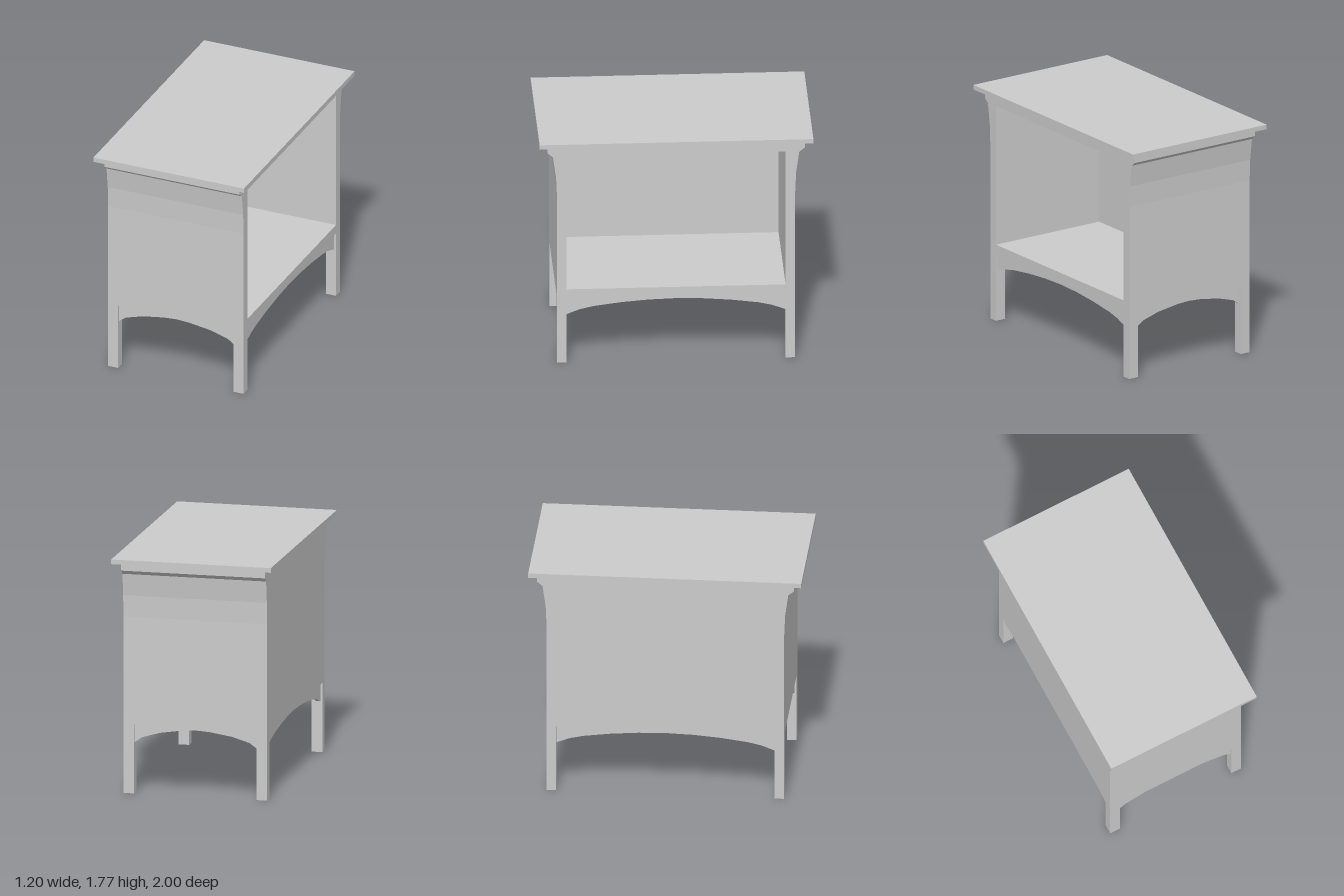
import * as THREE from 'three';

const material = new THREE.MeshStandardMaterial({ color: 0xcccccc, flatShading: true });

// Half sizes and heights
const BODY_X = 0.54, BODY_Z = 0.87, LEG_X = 0.46, LEG_Z = 0.8;
const BODY_BOTTOM = 0.515, BODY_TOP = 1.735, TOP = 1.77;
const RECESS_BACK = -0.385;

function add(group, name, geometry, x = 0, y = 0, z = 0) {
  const mesh = new THREE.Mesh(geometry, material);
  mesh.name = name;
  mesh.position.set(x, y, z);
  group.add(mesh);
  return mesh;
}

// Shape from right-half points (bottom to top), mirrored to the left half
function mirroredShape(half) {
  const left = half.map(([u, v]) => [-u, v]).reverse();
  return new THREE.Shape([...half, ...left].map(([u, v]) => new THREE.Vector2(u, v)));
}

const extrude = (shape, depth) => new THREE.ExtrudeGeometry(shape, { depth, bevelEnabled: false });

// End walls flare outwards below the top
function bodyShape() {
  return mirroredShape([
    [BODY_Z, BODY_BOTTOM], [BODY_Z, 1.32], [0.877, 1.48], [0.9, 1.645], [0.94, 1.677], [0.94, BODY_TOP],
  ]);
}

// Apron with an arched lower edge
function apronGeometry(arch, thickness) {
  const end = arch[arch.length - 1][0];
  const geometry = extrude(mirroredShape([...arch, [end, BODY_BOTTOM]]), thickness);
  return geometry.translate(0, 0, -thickness / 2);
}

export function createModel() {
  const model = new THREE.Group();
  model.name = 'sideCabinet';

  // Table top
  add(model, 'tableTop', new THREE.BoxGeometry(1.2, TOP - BODY_TOP, 2), 0, (TOP + BODY_TOP) / 2, 0);

  // Cabinet frame, open towards +x
  const frame = bodyShape();
  frame.holes.push(new THREE.Path([[-0.8, 0.585], [-0.8, 1.65], [0.8, 1.65], [0.8, 0.585]]
    .map(([u, v]) => new THREE.Vector2(u, v))));
  add(model, 'cabinetFrame', extrude(frame, BODY_X - RECESS_BACK).rotateY(Math.PI / 2), RECESS_BACK);

  // Closed wall behind the recess
  add(model, 'closedSide', extrude(bodyShape(), RECESS_BACK + BODY_X).rotateY(Math.PI / 2), -BODY_X);

  // Legs
  const legW = BODY_X - LEG_X, legD = BODY_Z - LEG_Z;
  for (const sx of [-1, 1]) {
    for (const sz of [-1, 1]) {
      add(model, 'leg', new THREE.BoxGeometry(legW, BODY_BOTTOM, legD),
        sx * (BODY_X + LEG_X) / 2, BODY_BOTTOM / 2, sz * (BODY_Z + LEG_Z) / 2);
    }
  }

  // Arched aprons, set slightly back between the legs
  const thickness = 0.03, inset = 0.015 + thickness / 2;
  const endApron = apronGeometry(
    [[0, 0.492], [0.1, 0.486], [0.27, 0.46], [0.405, 0.42], [LEG_X, 0.38]], thickness);
  const sideApron = apronGeometry(
    [[0, 0.488], [0.2, 0.482], [0.4, 0.466], [0.6, 0.44], [0.7, 0.418], [LEG_Z, 0.38]], thickness)
    .rotateY(Math.PI / 2);
  for (const s of [-1, 1]) {
    add(model, 'endApron', endApron, 0, 0, s * (BODY_Z - inset));
    add(model, 'sideApron', sideApron, s * (BODY_X - inset), 0, 0);
  }

  return model;
}
